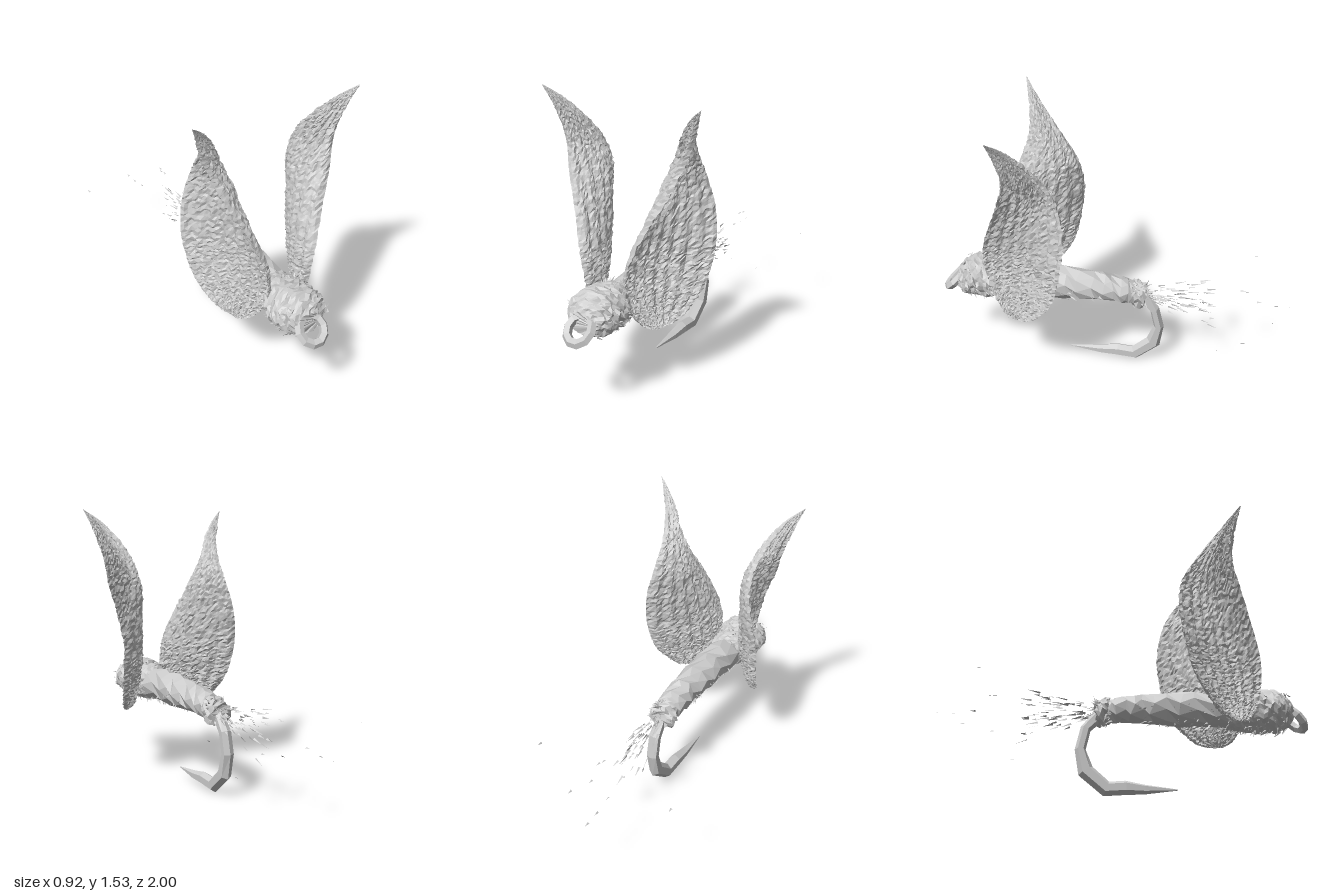
import * as THREE from 'three';

const material = new THREE.MeshStandardMaterial({ color: 0xcccccc, flatShading: true, side: THREE.DoubleSide });

// Small seeded random generator
let seed = 7;
const rand = () => {
  seed = (seed * 16807) % 2147483647;
  return seed / 2147483647;
};
const jitter = (a) => (rand() - 0.5) * 2 * a;

// Skins a list of closed rings of points and caps both ends
function loft(rings) {
  const n = rings[0].length, pos = [], index = [];
  rings.forEach((ring) => ring.forEach((p) => pos.push(p.x, p.y, p.z)));
  for (let i = 0; i < rings.length - 1; i++) {
    for (let j = 0; j < n; j++) {
      const a = i * n + j, b = i * n + (j + 1) % n;
      index.push(a, b, b + n, a, b + n, a + n);
    }
  }
  const last = (rings.length - 1) * n;
  for (let j = 1; j < n - 1; j++) {
    index.push(0, j + 1, j, last, last + j, last + j + 1);
  }
  const geometry = new THREE.BufferGeometry();
  geometry.setAttribute('position', new THREE.Float32BufferAttribute(pos, 3));
  geometry.setIndex(index);
  geometry.computeVertexNormals();
  return geometry;
}

function add(parent, name, geometry) {
  const mesh = new THREE.Mesh(geometry, material);
  mesh.name = name;
  parent.add(mesh);
  return mesh;
}

// Rough round form along z; stations are [z, centre y, half width, half height]
function roughBar(stations, steps, sides, rough, shift) {
  const mid = new THREE.CatmullRomCurve3(stations.map(([z, y]) => new THREE.Vector3(0, y, z)));
  const size = new THREE.CatmullRomCurve3(stations.map(([, , w, h]) => new THREE.Vector3(w, h, 0)));
  const rings = [];
  for (let i = 0; i <= steps; i++) {
    const c = mid.getPoint(i / steps), s = size.getPoint(i / steps), ring = [];
    for (let j = 0; j < sides; j++) {
      const a = ((j + (i % 2) / 2) / sides) * Math.PI * 2, k = 1 + jitter(rough);
      ring.push(new THREE.Vector3(Math.cos(a) * s.x * k, c.y + Math.sin(a) * s.y * k, c.z + jitter(shift)));
    }
    rings.push(ring);
  }
  return loft(rings);
}

// Cupped wing: [y, front x, z, middle x, z, back x, z] from the lobe to the tip
const wingRows = [
  [0.37, 0.21, 0.58, 0.215, 0.55, 0.225, 0.52],
  [0.40, 0.16, 0.63, 0.19, 0.54, 0.27, 0.45],
  [0.47, 0.13, 0.68, 0.17, 0.53, 0.31, 0.38],
  [0.55, 0.11, 0.71, 0.16, 0.52, 0.335, 0.32],
  [0.65, 0.115, 0.725, 0.155, 0.50, 0.35, 0.28],
  [0.77, 0.14, 0.72, 0.16, 0.48, 0.36, 0.255],
  [0.95, 0.21, 0.66, 0.18, 0.45, 0.34, 0.235],
  [1.12, 0.295, 0.59, 0.205, 0.43, 0.30, 0.26],
  [1.26, 0.345, 0.54, 0.265, 0.44, 0.295, 0.335],
  [1.38, 0.395, 0.535, 0.325, 0.49, 0.335, 0.43],
  [1.47, 0.425, 0.555, 0.385, 0.53, 0.385, 0.505],
  [1.535, 0.452, 0.573, 0.451, 0.57, 0.45, 0.567],
];

function wing(side) {
  const edge = (k) => new THREE.CatmullRomCurve3(wingRows.map((r) => new THREE.Vector3(r[k], r[0], r[k + 1])));
  const [front, middle, back] = [edge(1), edge(3), edge(5)];
  const rows = 120, cols = 36, rings = [];
  for (let i = 0; i <= rows; i++) {
    const t = i / rows;
    const f = front.getPoint(t), m = middle.getPoint(t), b = back.getPoint(t);
    const fade = Math.min(1, (1 - t) * 5, t * 12 + 0.2);
    const ring = [];
    for (let j = 0; j < cols * 2; j++) {
      const outer = j < cols ? 1 : -1;
      const u = outer > 0 ? j / cols : 2 - j / cols;
      const [wf, wm, wb] = [(1 - u) * (1 - 2 * u), 4 * u * (1 - u), u * (2 * u - 1)];
      const [df, dm, db] = [4 * u - 3, 4 - 8 * u, 4 * u - 1];
      const p = new THREE.Vector3().addScaledVector(f, wf).addScaledVector(m, wm).addScaledVector(b, wb);
      const d = new THREE.Vector3().addScaledVector(f, df).addScaledVector(m, dm).addScaledVector(b, db);
      const normal = new THREE.Vector3(-d.z, 0, d.x).normalize();
      // Lengthwise ribs and a ragged surface
      const thick = 0.004 + 0.014 * Math.sqrt(Math.sin(Math.PI * u) + 1e-6);
      const rib = 0.006 * Math.cos(u * Math.PI * 14);
      p.addScaledVector(normal, (outer * thick + rib + jitter(0.006)) * fade);
      p.y += jitter(0.006) * fade;
      p.x *= side;
      ring.push(p);
    }
    rings.push(side > 0 ? ring : ring.reverse());
  }
  return loft(rings);
}

// Bent hook; stations are [z, y, half thickness, half width]
function hook() {
  const path = [
    [-0.06, 0.46, 0.03, 0.03], [-0.15, 0.43, 0.035, 0.03], [-0.212, 0.36, 0.028, 0.035],
    [-0.238, 0.245, 0.029, 0.035], [-0.208, 0.13, 0.044, 0.035], [-0.10, 0.04, 0.042, 0.033],
    [0.0, 0.05, 0.038, 0.033], [0.1, 0.045, 0.026, 0.025], [0.275, 0.05, 0.003, 0.003],
  ];
  const X = new THREE.Vector3(1, 0, 0);
  const points = path.map(([z, y]) => new THREE.Vector3(0, y, z));
  return loft(path.map(([, , h, w], i) => {
    const T = points[Math.min(i + 1, path.length - 1)].clone().sub(points[Math.max(i - 1, 0)]).normalize();
    const N = T.clone().cross(X);
    return Array.from({ length: 6 }, (_, j) => {
      const a = (j / 6) * Math.PI * 2 + Math.PI / 6;
      return points[i].clone().addScaledVector(X, Math.cos(a) * w).addScaledVector(N, Math.sin(a) * h);
    });
  }));
}

// Thin slivers, each one triangle given by centre, direction, length and width
function slivers(list) {
  const pos = [];
  list.forEach(([c, dir, length, width]) => {
    const d = dir.clone().normalize();
    const s = new THREE.Vector3(jitter(1), jitter(1), jitter(1)).cross(d).normalize().multiplyScalar(width);
    const tip = c.clone().addScaledVector(d, length / 2), tail = c.clone().addScaledVector(d, -length / 2);
    pos.push(...tip.toArray(), ...tail.clone().add(s).toArray(), ...tail.sub(s).toArray());
  });
  const geometry = new THREE.BufferGeometry();
  geometry.setAttribute('position', new THREE.Float32BufferAttribute(pos, 3));
  geometry.computeVertexNormals();
  return geometry;
}

// Bristles standing on a round section: count, z range, radii, centre y, angle range
function bristles(count, z0, z1, rx, ry, cy, a0, a1) {
  return Array.from({ length: count }, () => {
    const a = a0 + rand() * (a1 - a0);
    const out = new THREE.Vector3(Math.cos(a), Math.sin(a), 0);
    const c = new THREE.Vector3(out.x * rx, cy + out.y * ry, z0 + rand() * (z1 - z0));
    out.z = -0.9 + jitter(0.9);
    return [c, out, 0.025 + rand() * 0.025, 0.007];
  });
}

export function createModel() {
  seed = 7;
  const group = new THREE.Group();

  // Crumpled wrapped body, bushy head and frayed rear collar
  add(group, 'body', roughBar([
    [-0.13, 0.46, 0.055, 0.055], [-0.05, 0.475, 0.075, 0.07], [0.1, 0.49, 0.084, 0.086],
    [0.35, 0.5, 0.093, 0.094], [0.65, 0.5, 0.098, 0.094]], 13, 9, 0.08, 0.018));
  add(group, 'head', roughBar([
    [0.55, 0.495, 0.085, 0.085], [0.62, 0.5, 0.115, 0.1], [0.72, 0.507, 0.138, 0.112],
    [0.8, 0.512, 0.142, 0.112], [0.86, 0.507, 0.125, 0.097], [0.905, 0.495, 0.075, 0.06]], 22, 30, 0.08, 0.006));
  add(group, 'rearCollar', roughBar([
    [-0.165, 0.45, 0.055, 0.05], [-0.13, 0.455, 0.08, 0.068], [-0.09, 0.465, 0.07, 0.065]], 5, 14, 0.2, 0.01));

  // Tilted flat wire eye at the nose
  const eye = add(group, 'eyeLoop', new THREE.TorusGeometry(0.068, 0.024, 5, 10));
  eye.position.set(0, 0.478, 0.93);
  eye.rotation.x = Math.PI * 0.75;
  eye.scale.y = 1.08;

  add(group, 'hook', hook());
  add(group, 'leftWing', wing(1));
  add(group, 'rightWing', wing(-1));

  // Loose tail fibres fanning backward, with a few stray far ones
  const fibres = [];
  const root = new THREE.Vector3(0, 0.47, -0.08);
  for (let i = 0; i < 130; i++) {
    const dir = new THREE.Vector3(jitter(0.2) + jitter(0.2), -0.14 + jitter(0.28), -1);
    const reach = 0.05 + 0.42 * rand() ** 2;
    fibres.push([root.clone().addScaledVector(dir, reach), dir, 0.025 + rand() * 0.045, 0.006]);
  }
  const strays = [
    [-0.11, 0.366, -0.985], [-0.105, 0.37, -0.9], [-0.1, 0.39, -0.8], [0.09, 0.39, -0.86], [-0.46, 0.47, -0.78],
    [0.4, 0.47, -0.71], [-0.01, 0.52, -0.7], [0, 0.52, -0.73], [-0.02, 0.31, -0.54], [0.17, 0.23, -0.59]];
  strays.forEach((p) => {
    const c = new THREE.Vector3(...p);
    fibres.push([c, new THREE.Vector3(c.x * 0.2, 0.02, -1), 0.03, 0.006]);
  });
  add(group, 'tailFibres', slivers(fibres));

  // Short bristles on the head, under the body and around the collar
  add(group, 'bristles', slivers([
    ...bristles(190, 0.6, 0.88, 0.133, 0.108, 0.503, 0, Math.PI * 2),
    ...bristles(70, 0.05, 0.6, 0.09, 0.092, 0.497, Math.PI, Math.PI * 2),
    ...bristles(60, -0.17, -0.09, 0.07, 0.065, 0.46, 0, Math.PI * 2)]));

  return group;
}
